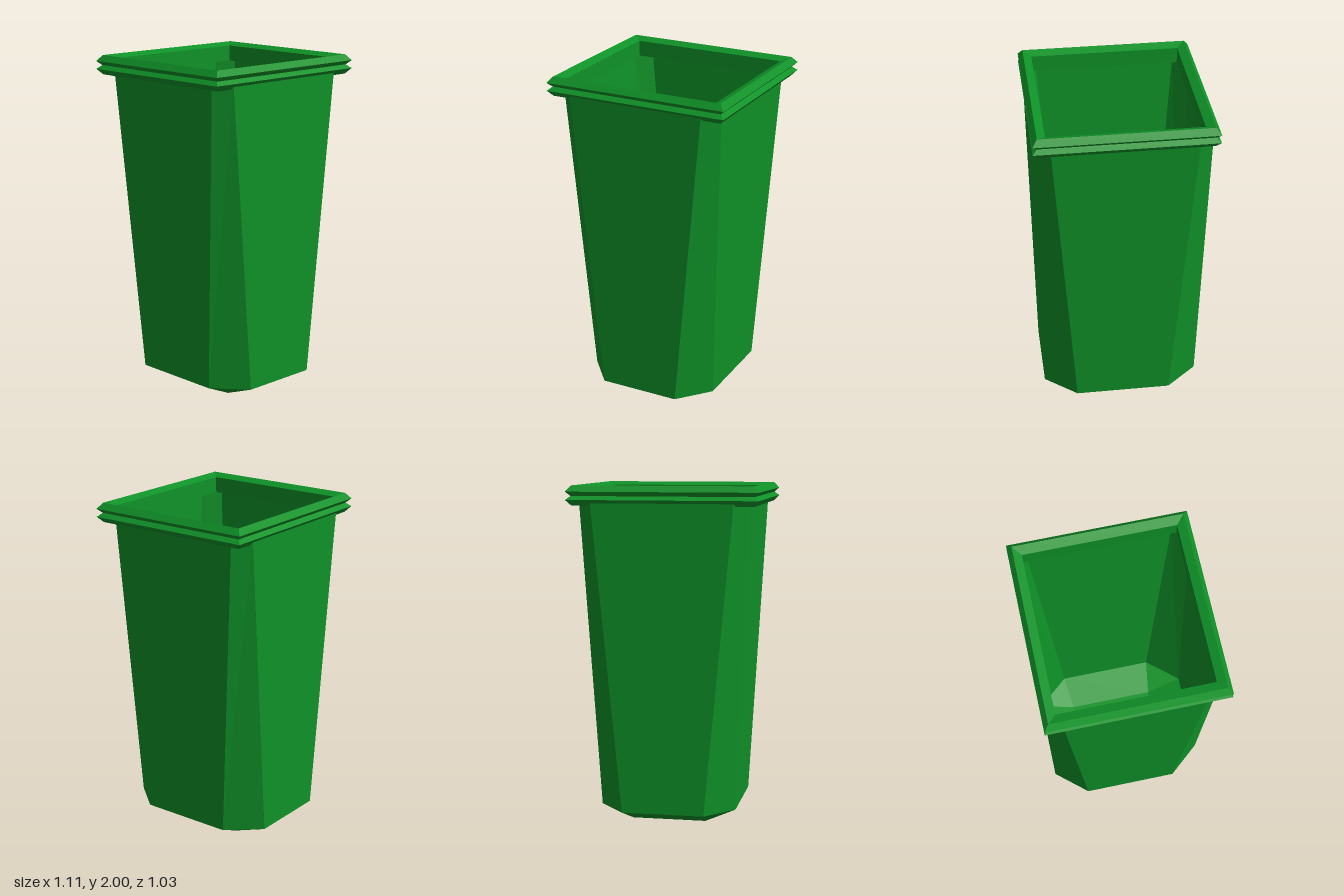
import * as THREE from 'three';

// Eight-sided ring: half sizes X, Z with corners cut back to cx, cz
function ring(y, X, Z, cx, cz) {
  return [[X, cz], [cx, Z], [-cx, Z], [-X, cz], [-X, -cz], [-cx, -Z], [cx, -Z], [X, -cz]]
    .map(([x, z]) => [x, y, z]);
}

// Skin between stacked rings, with a floor on the lowest one
function loft(rings) {
  const pos = [];
  const same = (p, q) => p.every((v, k) => v === q[k]);
  const tri = (a, b, c) => {
    if (!same(a, b) && !same(b, c) && !same(a, c)) pos.push(...a, ...b, ...c);
  };
  for (let r = 0; r < rings.length - 1; r++) {
    const low = rings[r], up = rings[r + 1];
    for (let i = 0; i < low.length; i++) {
      const j = (i + 1) % low.length;
      tri(low[i], up[i], low[j]);
      tri(low[j], up[i], up[j]);
    }
  }
  const floor = rings[0];
  for (let i = 1; i < floor.length - 1; i++) tri(floor[0], floor[i], floor[i + 1]);
  const geo = new THREE.BufferGeometry();
  geo.setAttribute('position', new THREE.Float32BufferAttribute(pos, 3));
  geo.computeVertexNormals();
  return geo;
}

export function createModel() {
  const group = new THREE.Group();
  group.name = 'bin';
  const green = new THREE.MeshStandardMaterial({
    color: 0x0f9228, flatShading: true, side: THREE.DoubleSide,
  });

  // Thin open tub: small rectangular foot, cut corners, flaring to the top
  const body = new THREE.Mesh(loft([
    ring(0, 0.22, 0.26, 0.22, 0.26),
    ring(0.085, 0.405, 0.475, 0.243, 0.285),
    ring(1.91, 0.5, 0.5, 0.415, 0.415),
  ]), green);
  body.name = 'body';
  group.add(body);

  // Square rim with two outer ridges, as a four-sided lathe of a closed profile
  const profile = [
    [0.475, 1.885], [0.527, 1.885], [0.557, 1.918], [0.53, 1.94], [0.557, 1.965],
    [0.527, 2], [0.475, 1.98], [0.475, 1.885],
  ].map(([x, y]) => new THREE.Vector2(x * Math.SQRT2, y));
  const rimGeo = new THREE.LatheGeometry(profile, 4, Math.PI / 4).toNonIndexed();
  rimGeo.scale(1, 1, 0.925);
  rimGeo.computeVertexNormals();
  const rim = new THREE.Mesh(rimGeo, green);
  rim.name = 'rim';
  group.add(rim);

  return group;
}
